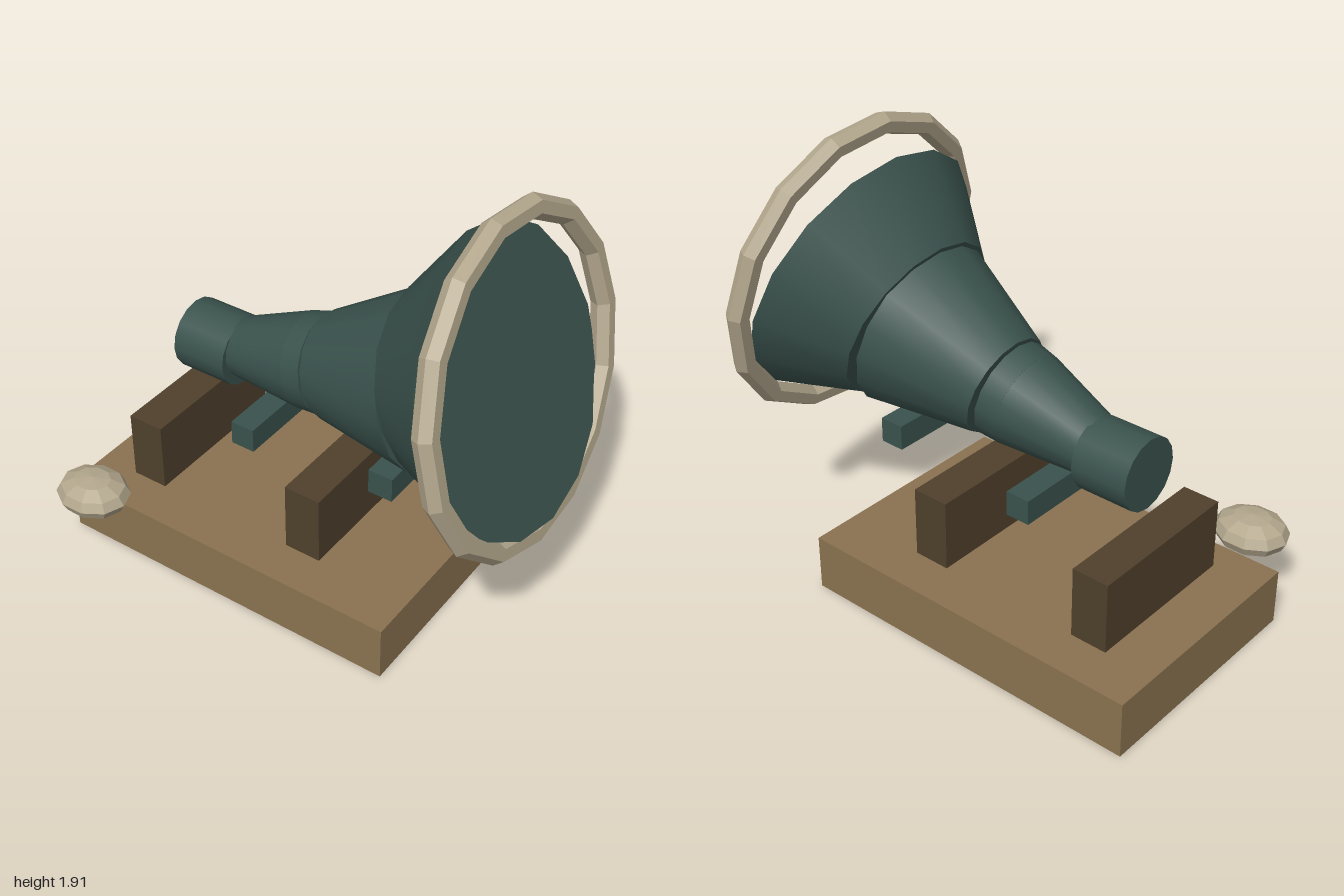
import * as THREE from 'three';

const mat = (name, color, flatShading = false) => {
  const m = new THREE.MeshStandardMaterial({ color, flatShading });
  m.name = name;
  return m;
};

export function createModel() {
  const green = mat('dark green', 0x3a524d);
  const wood = mat('light wood', 0x8b7250);
  const darkWood = mat('dark wood', 0x4f402c);
  const cream = mat('cream', 0xb3a78d, true);
  const model = new THREE.Group();
  model.name = 'horn';
  const Z = -0.03; // centre plane of the stand and horn

  const add = (name, geometry, material, x, y, z = Z) => {
    const mesh = new THREE.Mesh(geometry, material);
    mesh.name = name;
    mesh.position.set(x, y, z);
    model.add(mesh);
    return mesh;
  };

  // Box given by its x and y limits and its depth
  const box = (name, material, x0, x1, y0, y1, depth) =>
    add(name, new THREE.BoxGeometry(x1 - x0, y1 - y0, depth), material, (x0 + x1) / 2, (y0 + y1) / 2);

  // Tapered round section between two points of the axis in the xy plane
  const section = (name, x0, y0, r0, x1, y1, r1) => {
    const length = Math.hypot(x1 - x0, y1 - y0);
    const mesh = add(name, new THREE.CylinderGeometry(r1, r0, length, 16), green, (x0 + x1) / 2, (y0 + y1) / 2);
    mesh.rotation.z = Math.atan2(y1 - y0, x1 - x0) - Math.PI / 2;
  };

  // Stand
  box('base', wood, -1, 0.573, 0, 0.245, 1.04);
  box('rearSupport', darkWood, -0.795, -0.633, 0.272, 0.58, 0.71);
  box('frontSupport', darkWood, 0.003, 0.166, 0.272, 0.58, 0.71);
  box('rearCrossbar', green, -0.335, -0.227, 0.585, 0.692, 0.51);
  box('frontCrossbar', green, 0.33, 0.438, 0.65, 0.758, 0.51);

  // Horn, bending upwards from the neck to the mouth
  section('neck', -0.705, 0.846, 0.152, -0.455, 0.846, 0.152);
  section('throat', -0.465, 0.865, 0.125, -0.12, 0.94, 0.2);
  section('throatEnd', -0.12, 0.94, 0.2, -0.027, 0.96, 0.21);
  section('middle', -0.005, 0.962, 0.222, 0.442, 1.086, 0.37);
  section('bell', 0.468, 1.097, 0.385, 0.775, 1.22, 0.597);

  // Rim around the mouth
  const rim = add('rim', new THREE.TorusGeometry(0.636, 0.048, 6, 15).rotateY(Math.PI / 2), cream, 0.82, 1.24, -0.025);
  rim.rotation.z = 0.2;

  // Flattened knob beside the stand
  const knob = add('knob', new THREE.SphereGeometry(1, 10, 6), cream, -0.815, 0.325, 0.565);
  knob.scale.set(0.165, 0.08, 0.142);

  return model;
}
